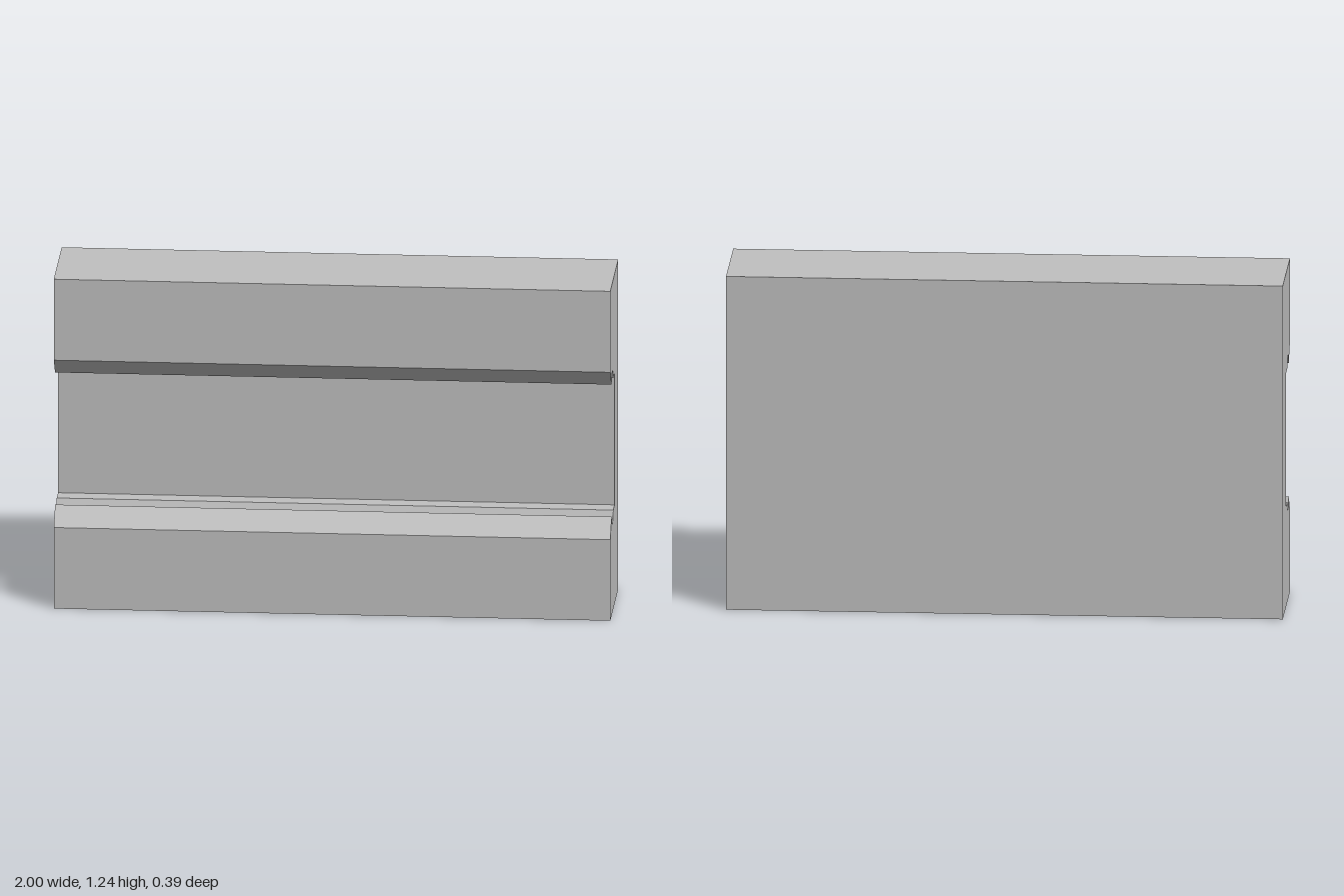
import * as THREE from 'three';

const LENGTH = 2, HEIGHT = 1.236, HALF_DEPTH = 0.193;

// Lower lip of the channel as [z, y], from the front face to the channel wall
const lip = [
  [HALF_DEPTH, 0.304], [0.128, 0.37], [0.115, 0.341], [0.088, 0.328],
  [0.06, 0.341], [0.048, 0.37], [-0.016, 0.37],
];

export function createModel() {
  const group = new THREE.Group();
  group.name = 'channelBlock';
  const grey = new THREE.MeshStandardMaterial({ color: 0xc0c0c0 });
  grey.name = 'light grey';

  // Side profile: the upper lip mirrors the lower one
  const upperLip = lip.map(([z, y]) => [z, HEIGHT - y]).reverse();
  const outline = [
    [-HALF_DEPTH, 0], [HALF_DEPTH, 0], ...lip,
    ...upperLip, [HALF_DEPTH, HEIGHT], [-HALF_DEPTH, HEIGHT],
  ];
  const profile = new THREE.Shape(outline.map(([z, y]) => new THREE.Vector2(-z, y)));

  // Extrude the profile along x
  const geometry = new THREE.ExtrudeGeometry(profile, { depth: LENGTH, bevelEnabled: false });
  geometry.translate(0, 0, -LENGTH / 2).rotateY(Math.PI / 2);

  const block = new THREE.Mesh(geometry, grey);
  block.name = 'groovedRailBlock';
  group.add(block);
  return group;
}
